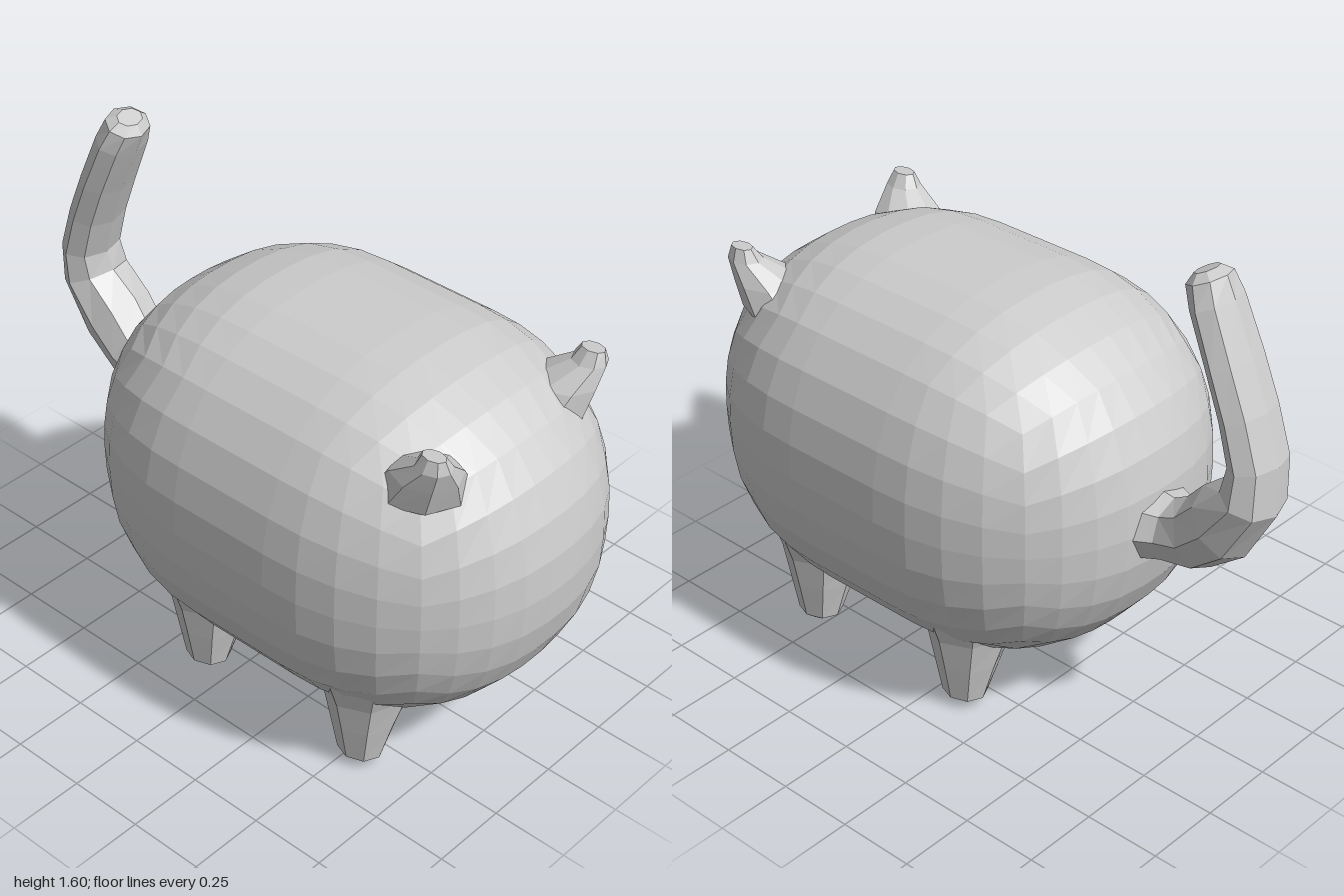
import * as THREE from 'three';

const grey = new THREE.MeshStandardMaterial({ color: 0xcccccc, flatShading: true });
grey.name = 'plain grey';

function addMesh(parent, name, geometry) {
  const mesh = new THREE.Mesh(geometry, grey);
  mesh.name = name;
  parent.add(mesh);
}

// Rounded capsule body: a box grid pushed out to a slightly squared ellipsoid, stretched along z
function bodyGeometry() {
  const radius = 0.583, endRadius = 0.625, halfStraight = 0.175, flat = 0.375;
  const sidePower = 2.4, endPower = 2.2;
  const geo = new THREE.BoxGeometry(2, 2, 2 + 2 * flat, 9, 8, 11);
  const pos = geo.attributes.position;
  const bend = (v) => Math.tan(v * Math.PI / 4);
  for (let i = 0; i < pos.count; i++) {
    const mid = THREE.MathUtils.clamp(pos.getZ(i), -flat, flat);
    const x = bend(pos.getX(i)), y = bend(pos.getY(i)), z = bend(pos.getZ(i) - mid);
    const across = (Math.abs(x) ** sidePower + Math.abs(y) ** sidePower) ** (1 / sidePower);
    const k = 1 / (across ** endPower + Math.abs(z) ** endPower) ** (1 / endPower);
    pos.setXYZ(i, x * k * radius, 0.72 + y * k * radius,
      0.2 + z * k * endRadius + (mid / flat) * halfStraight);
  }
  geo.deleteAttribute('uv');
  const out = geo.toNonIndexed();
  out.computeVertexNormals();
  return out;
}

// Skin over elliptical rings [x, y, z, radiusX, radiusB, heading]; heading 0 = backward, 90 = up
function loft(rings, sides = 8) {
  const pts = [], index = [];
  for (const [x, y, z, rx, rb, heading = 90] of rings) {
    const a = THREE.MathUtils.degToRad(heading);
    for (let j = 0; j < sides; j++) {
      const t = (j / sides) * Math.PI * 2;
      const b = rb * Math.sin(t);
      pts.push(x + rx * Math.cos(t), y + b * Math.cos(a), z + b * Math.sin(a));
    }
  }
  const last = (rings.length - 1) * sides;
  for (let j = 0; j < sides; j++) {
    const n = (j + 1) % sides;
    for (let r = 0; r < last; r += sides) {
      index.push(r + j, r + sides + j, r + n, r + n, r + sides + j, r + sides + n);
    }
    if (j > 0 && j < sides - 1) {
      index.push(0, j, n, last, last + n, last + j);
    }
  }
  const geo = new THREE.BufferGeometry();
  geo.setAttribute('position', new THREE.Float32BufferAttribute(pts, 3));
  geo.setIndex(index);
  const out = geo.toNonIndexed();
  out.computeVertexNormals();
  return out;
}

export function createModel() {
  const model = new THREE.Group();
  model.name = 'roundAnimal';
  addMesh(model, 'body', bodyGeometry());

  for (const [side, s] of [['left', 1], ['right', -1]]) {
    // Short tapered legs, flaring into the belly
    for (const [end, z] of [['Front', 0.54], ['Back', -0.1]]) {
      addMesh(model, side + end + 'Leg', loft([
        [s * 0.335, 0.0, z, 0.02, 0.02],
        [s * 0.333, 0.035, z, 0.065, 0.075],
        [s * 0.316, 0.16, z, 0.105, 0.106],
        [s * 0.295, 0.27, z, 0.148, 0.135],
        [s * 0.28, 0.38, z, 0.2, 0.18],
      ]));
    }
    // Small blunt ears, leaning forward and outward from broad bases
    addMesh(model, side + 'Ear', loft([
      [s * 0.27, 1.07, 0.68, 0.14, 0.15],
      [s * 0.305, 1.16, 0.735, 0.1, 0.11],
      [s * 0.343, 1.225, 0.79, 0.05, 0.058],
      [s * 0.35, 1.265, 0.795, 0.026, 0.04],
    ]));
  }

  // Upright tail, wider than it is deep, curling forward at the tip
  addMesh(model, 'tail', loft([
    [0.005, 0.71, -0.5, 0.15, 0.13, 0],
    [0.005, 0.71, -0.59, 0.13, 0.11, 0],
    [0.005, 0.715, -0.64, 0.108, 0.1, 5],
    [0.01, 0.745, -0.73, 0.113, 0.112, 25],
    [0.015, 0.825, -0.82, 0.117, 0.118, 42],
    [0.01, 0.95, -0.912, 0.115, 0.09, 68],
    [0.0, 1.06, -0.915, 0.11, 0.072, 98],
    [-0.003, 1.2, -0.87, 0.108, 0.068, 110],
    [-0.005, 1.34, -0.812, 0.106, 0.066, 112],
    [-0.005, 1.5, -0.742, 0.096, 0.066, 113],
    [-0.005, 1.565, -0.713, 0.076, 0.064, 113],
    [-0.005, 1.587, -0.703, 0.045, 0.034, 113],
  ]));

  return model;
}
